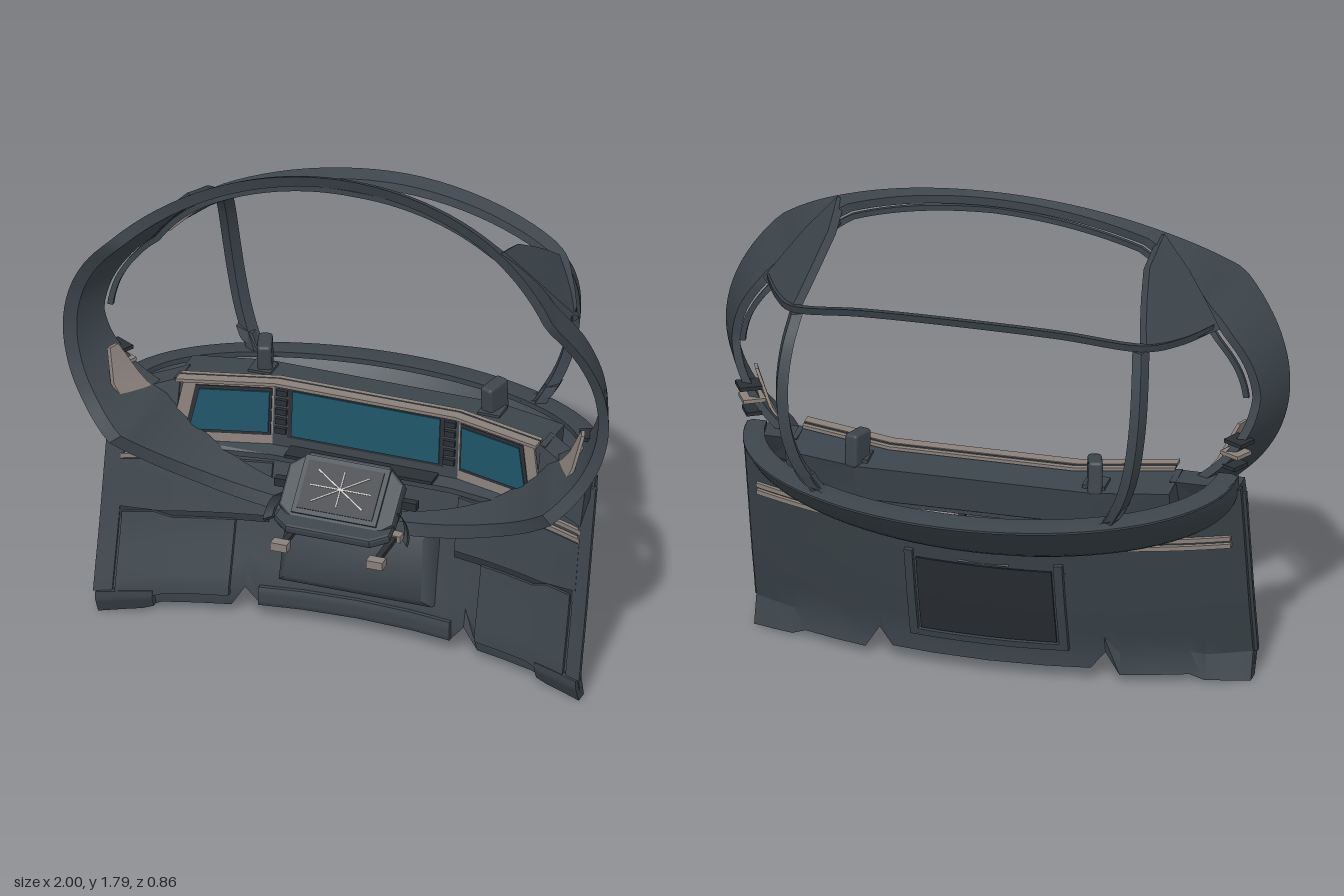
import * as THREE from 'three';
import { toCreasedNormals } from 'three/addons/utils/BufferGeometryUtils.js';
import { RoundedBoxGeometry } from 'three/addons/geometries/RoundedBoxGeometry.js';

const mat = (name, color) => Object.assign(
  new THREE.MeshStandardMaterial({ color, side: THREE.DoubleSide }), { name });
const slate = mat('slate', 0x3c454b);
const dark = mat('charcoal', 0x2a2f34);
const beige = mat('warm grey', 0x8a807a);
const teal = mat('screen teal', 0x1d5366);
const pale = mat('pale lines', 0xc9c6c0);

const lerp = THREE.MathUtils.lerp;
const add = (p, o) => p.map((c, i) => c + o[i]);
function table(rows, k) { // piecewise linear lookup, returns the row's values
  if (k <= rows[0][0]) return rows[0].slice(1);
  for (let i = 1; i < rows.length; i++) {
    const a = rows[i - 1], b = rows[i];
    if (k <= b[0]) return a.slice(1).map((v, j) => lerp(v, b[j + 1], (k - a[0]) / (b[0] - a[0])));
  }
  return rows[rows.length - 1].slice(1);
}

// Skin closed cross-sections; a loop joins last to first, otherwise the ends are capped
function loft(sections, loop = false, crease = 0.5) {
  const m = sections[0].length, n = sections.length, idx = [];
  const quad = (a, b, c, d) => idx.push(a, b, c, a, c, d);
  for (let i = 0; i < (loop ? n : n - 1); i++) for (let j = 0; j < m; j++) {
    const i2 = (i + 1) % n, j2 = (j + 1) % m;
    quad(i * m + j, i2 * m + j, i2 * m + j2, i * m + j2);
  }
  if (!loop) for (let j = 0; j < m / 2 - 1; j++) {
    const e = (n - 1) * m;
    quad(j, j + 1, m - 2 - j, m - 1 - j);
    quad(e + j, e + m - 1 - j, e + m - 2 - j, e + j + 1);
  }
  const pts = sections.flat().map(p => new THREE.Vector3(...p));
  let volume = 0;
  for (let i = 0; i < idx.length; i += 3)
    volume += pts[idx[i]].dot(pts[idx[i + 1]].clone().cross(pts[idx[i + 2]]));
  if (volume < 0) idx.reverse();
  const g = new THREE.BufferGeometry().setFromPoints(pts);
  g.setIndex(idx);
  return toCreasedNormals(g, crease);
}
// Grid of points given thickness
const slab = (rows, off, crease) => loft(rows.map(r => [...r, ...[...r].reverse().map(p => add(p, off))]), false, crease);
// Rectangular bar through points; u and v are half-size vectors
const neg = w => w.map(c => -c);
const strip = (points, u, v) => loft(points.map(p =>
  [add(add(p, u), v), add(add(p, u), neg(v)), add(add(p, neg(u)), neg(v)), add(add(p, neg(u)), v)]));
const bar = (points, u, v, n = 24) => strip(
  new THREE.CatmullRomCurve3(points.map(p => new THREE.Vector3(...p))).getPoints(n).map(q => q.toArray()), u, v);
const range = (a, b, n) => Array.from({ length: n + 1 }, (_, i) => lerp(a, b, i / n));

// Front and back depth of the canopy hoop by height
const hoopDepth = [[0.44, 0.19, 0.13], [0.55, 0.26, 0.12], [0.72, 0.395, 0.1], [0.85, 0.36, 0.13], [1.0, 0.34, 0.16],
  [1.12, 0.335, 0.18], [1.25, 0.342, 0.17], [1.38, 0.362, 0.16], [1.5, 0.393, 0.18], [1.68, 0.25, 0.2], [1.79, 0.17, 0.14]];
function hoopFrame(a) {
  const c = Math.cos(a), s = Math.sin(a), [zf, zb] = table(hoopDepth, 1.115 + 0.675 * s);
  return { zf, zb, taper: 0.4 * (zf - zb), c, at: (d, z) => [(1 - d) * c, 1.115 + (0.675 - d) * s, z] };
}
function hoopSection(a) {
  const { zf, zb, taper, at } = hoopFrame(a);
  return [at(0, zf), at(taper, zb), at(taper + 0.03, zb), at(0.045, zf - 0.015)];
}
function railSection(a) {
  const { zb, taper, c, at } = hoopFrame(a), t = taper + 0.035, z = zb + 0.015 - 0.03 * Math.abs(c);
  return [at(t, z), at(t, z - 0.015), at(t + 0.02, z - 0.015), at(t + 0.02, z)];
}

// Lower wall: bowed in plan and leaning, with a stepped bottom edge
const lean = [[0, 0.07], [0.06, 0.1], [0.1, 0.1], [0.3, 0.045], [0.5, 0.0], [0.8, -0.07]];
const wallZ = (x, y) => table(lean, y)[0] + 0.26 * x * x;
const wallBottom = x => table([[0, 0.05], [0.35, 0.05], [0.4, 0.11], [0.45, 0.03], [0.68, 0.03], [0.73, 0.01], [0.88, 0]], Math.abs(x))[0];
const wallTop = x => table([[0.6, 0.62], [0.88, 0.79]], Math.abs(x))[0];
const wallPatch = (xs, lo, hi, lift, depth) => slab(xs.map(x =>
  range(0, 1, 8).map(t => lerp(lo(x), hi(x), t)).map(y => [x, y, wallZ(x, y) + lift])), [0, 0, depth]);

export function createModel() {
  const model = new THREE.Group();
  model.name = 'cockpit';
  const put = (name, geo, material, parent = model) => {
    const m = new THREE.Mesh(geo, material);
    m.name = name;
    parent.add(m);
    return m;
  };
  const box = (name, w, h, d, x, y, z, material, parent) => {
    const m = put(name, new THREE.BoxGeometry(w, h, d), material, parent);
    m.position.set(x, y, z);
    return m;
  };
  const side = new THREE.Group(); // everything on the +x side, mirrored at the end
  side.name = 'leftSide';

  // Canopy hoop and its inner rail
  put('canopyHoop', loft(range(0, 2 * Math.PI, 120).slice(0, -1).map(hoopSection), true), slate);
  put('innerRail', loft(range(0.02, Math.PI - 0.02, 70).map(railSection)), slate);

  // Windscreen bars and roof corner panels
  const beam = [[0.79, 1.395, 0.12], [0.72, 1.405, -0.03], [0.62, 1.435, -0.18], [0.35, 1.497, -0.28], [0, 1.523, -0.325]];
  put('crossbar', bar([...beam, ...beam.slice(0, 4).reverse().map(([x, y, z]) => [-x, y, z])], [0, 0.014, -0.004], [0, 0.008, -0.026], 48), slate);
  put('windscreenPillar', bar([[0.61, 1.43, -0.19], [0.625, 1.33, -0.26], [0.63, 1.2, -0.31], [0.615, 1.05, -0.325],
    [0.58, 0.92, -0.305], [0.52, 0.8, -0.26]], [0.018, 0, -0.008], [0.008, 0, 0.025]), slate, side);
  put('pillarFoot', bar([[0.56, 0.87, -0.28], [0.53, 0.82, -0.27], [0.47, 0.8, -0.28]], [0.03, 0.01, 0], [0, 0, 0.025], 8), slate, side);
  put('roofCornerPanel', slab([
    [[0.58, 1.67, 0.24], [0.575, 1.645, 0.17], [0.57, 1.615, 0.08]],
    [[0.68, 1.56, 0.2], [0.63, 1.56, 0.09], [0.59, 1.55, -0.03]],
    [[0.75, 1.47, 0.16], [0.68, 1.48, 0.03], [0.61, 1.49, -0.12]],
    [[0.81, 1.39, 0.12], [0.73, 1.405, -0.03], [0.63, 1.435, -0.19]]], [-0.025, -0.015, 0.01]), slate, side);
  put('roofCornerTrim', bar([[0.56, 1.61, 0.16], [0.65, 1.5, 0.12], [0.73, 1.42, 0.09]], [0.01, 0.01, 0], [0, 0, 0.03], 8), dark, side);
  put('roofCornerStripe', strip([[0.57, 1.58, 0.18], [0.68, 1.46, 0.145]], [0.005, 0.005, 0], [0, 0, 0.01]), beige, side);

  // Nose bowl below the windscreen, with a flat flange round its rim
  const rim = a => [0.87 * Math.sin(a), 0.83 - 0.045 * Math.cos(a), 0.13 - 0.535 * Math.cos(a)];
  const angles = range(-Math.PI / 2, Math.PI / 2, 40);
  put('noseBowl', slab(angles.map(a => {
    const r = rim(a), c = Math.cos(a), foot = [r[0], 0.78 - 0.28 * c, 0.13 - 0.12 * c];
    return range(0, 1, 10).map(t => {
      const bulge = 4 * t * (1 - t) * c;
      return [r[0], lerp(r[1], foot[1], t) - 0.03 * bulge, lerp(r[2], foot[2], t) - 0.02 * bulge];
    });
  }), [0, 0.006, 0.008], 0.9), slate);
  put('noseRim', loft(angles.map(a => {
    const r = rim(a), s = Math.sin(a), c = Math.cos(a);
    const at = (d, y) => [r[0] - d * s, r[1] + y, r[2] + d * c];
    return [at(-0.022 * c, -0.005), at(-0.022 * c, 0.003), at(0.02, 0.012), at(0.07, 0.012), at(0.07, -0.008), at(0, -0.01)];
  })), slate);

  // Lower wall with raised panels, ledges and a rear recess
  const xs = [0.88, 0.8, 0.73, 0.68, 0.56, 0.45, 0.4, 0.35, 0.2];
  put('lowerWall', wallPatch([...xs.map(x => -x), 0, ...[...xs].reverse()], wallBottom, wallTop, -0.01, 0.03), slate);
  const px = [0.45, 0.55, 0.66, 0.72, 0.82];
  put('lowerSidePanel', wallPatch(px, x => wallBottom(x) + 0.05, x => (x > 0.7 ? 0.365 : 0.345), 0.015, 0.022), slate, side);
  put('upperSidePanel', wallPatch([0.34, 0.45, 0.58, 0.7, 0.84], x => (x > 0.7 ? 0.385 : 0.365), () => 0.55, 0.015, 0.017), slate, side);
  put('panelGap', wallPatch(range(0.34, 0.84, 6), () => 0.34, () => 0.39, 0.018, 0.008), dark, side);
  put('sideFoot', wallPatch([0.7, 0.74, 0.8, 0.88], wallBottom, () => 0.09, 0.015, 0.025), slate, side);
  put('sideEdge', wallPatch([0.83, 0.86, 0.89], () => 0.09, () => 0.76, 0.01, 0.02), slate, side);
  for (const [y, h] of [[0.56, 0.008], [0.59, 0.008]]) put('sideLedge',
    bar(range(0.5, 0.84, 5).map(x => [x, y, wallZ(x, y) + 0.003]), [0, h, 0], [0, 0, 0.03], 12), beige, side);
  put('rearRecess', wallPatch(range(-0.24, 0.24, 6), () => 0.15, () => 0.45, -0.022, 0.008), dark);
  put('rearRecessPost', wallPatch([0.25, 0.28], () => 0.12, () => 0.48, -0.03, 0.02), slate, side);
  put('rearRecessSill', wallPatch(range(-0.28, 0.28, 6), () => 0.12, () => 0.145, -0.03, 0.02), slate);

  // Centre box with bevelled front and a vent
  const frame = (w, y0, y1, z0, z1, tw = w) => [[-w, y0, z0], [w, y0, z0], [tw, y1, z1], [-tw, y1, z1]];
  put('centreBox', loft([frame(0.285, 0.15, 0.46, 0.1, 0.02), frame(0.28, 0.16, 0.44, 0.15, 0.09, 0.27),
    frame(0.25, 0.19, 0.41, 0.175, 0.13, 0.24)], false, 0.9), slate);
  for (let i = 0; i < 3; i++) box('centreVent', 0.24 - i * 0.015, 0.012, 0.03, 0, 0.415 - i * 0.018, 0.116 + i * 0.009, beige);
  put('centreFoot', wallPatch([-0.35, -0.2, 0, 0.2, 0.35], () => 0.05, () => 0.12, 0.015, 0.02), slate);

  // Dashboard body, upright facia under a hood trim, screens and button columns
  const dashZ = (x, y) => 0.02 + (0.86 - y) * 0.1 + Math.max(0, Math.abs(x) - 0.33) * 0.27;
  const facia = (x0, x1, y0, y1, lift, depth) => slab([x0, x1].map(x => [y0, y1].map(y => [x, y, dashZ(x, y) + lift])), [0, 0, depth]);
  const panel = (x0, xLow, xTop, y0, y1, lift, depth) => slab([[x0, x0], [xLow, xTop]].map(([a, b]) =>
    [[a, y0, dashZ(a, y0) + lift], [b, y1, dashZ(b, y1) + lift]]), [0, 0, depth]);
  put('dashBody', loft([-0.68, -0.42, 0.42, 0.68].map(x => {
    const k = Math.abs(x) > 0.5 ? 1 : 0;
    return [[x, 0.62, dashZ(x, 0.62) - 0.01], [x, 0.85, dashZ(x, 0.85) - 0.01], [x, 0.84, -0.14 + 0.06 * k], [x, 0.71, -0.12 + 0.08 * k]];
  }), false, 0.2), slate);
  const dashLine = (y, lift) => [-0.66, -0.33, 0.33, 0.66].map(x => [x, y, dashZ(x, 0.86) + lift]);
  put('dashHood', strip(dashLine(0.863, 0.016), [0, 0.006, 0], [0, 0, 0.02]), beige);
  put('dashHoodGroove', strip(dashLine(0.862, -0.01), [0, 0.004, 0], [0, 0, 0.007]), dark);
  put('dashHoodRear', strip(dashLine(0.86, -0.024), [0, 0.006, 0], [0, 0, 0.008]), beige);
  put('centreFacia', facia(-0.33, 0.33, 0.645, 0.86, 0, 0.012), beige);
  put('centreScreenSurround', facia(-0.285, 0.285, 0.665, 0.852, 0.012, 0.004), dark);
  put('centreScreen', facia(-0.27, 0.27, 0.675, 0.842, 0.016, 0.005), teal);
  put('sideFacia', panel(0.33, 0.68, 0.64, 0.63, 0.86, 0, 0.012), beige, side);
  put('sideScreenSurround', panel(0.345, 0.63, 0.6, 0.665, 0.84, 0.012, 0.004), dark, side);
  put('sideScreen', panel(0.352, 0.615, 0.585, 0.677, 0.828, 0.016, 0.005), teal, side);
  for (let i = 0; i < 5; i++) {
    const y = 0.69 + i * 0.035;
    box('dashButton', 0.04, 0.022, 0.014, 0.308, y, dashZ(0.3, y) + 0.02, dark, side);
  }
  put('dashShelf', slab([-0.68, -0.33, 0.33, 0.68].map(x => [[x, 0.635, dashZ(x, 0.63)], [x, 0.615, wallZ(x, 0.6) + 0.13 - 0.1 * Math.abs(x)]]), [0, -0.02, 0], 0.2), slate);
  put('dashShelfPad', strip([[-0.27, 0.632, 0.09], [0.27, 0.632, 0.09]], [0, 0.006, 0], [0, 0, 0.035]), dark);

  // Side consoles, upright displays and trim on the hoop
  put('sideConsole', loft([[0.66, 0.85, 0.04], [0.78, 0.82, 0.1], [0.87, 0.79, 0.16]].map(([x, y, z]) =>
    [[x, 0.66, z + 0.11], [x, y, z + 0.06], [x, y, z - 0.04], [x, 0.72, z + 0.02]])), slate, side);
  const display = put('uprightDisplay', new RoundedBoxGeometry(0.05, 0.12, 0.1, 2, 0.012), slate, side);
  display.position.set(0.42, 0.89, -0.09);
  display.rotation.set(0.1, -0.3, 0);
  box('displayBase', 0.08, 0.02, 0.08, 0.42, 0.845, -0.07, slate, side);
  put('hoopTrim', slab([[[0.86, 1.0, 0.2], [0.875, 1.0, 0.24]], [[0.8, 0.88, 0.16], [0.85, 0.88, 0.27]],
    [[0.76, 0.83, 0.15], [0.81, 0.8, 0.26]]], [-0.012, 0, 0]), beige, side);
  for (let i = 0; i < 3; i++)
    box('sideSlat', 0.08, 0.014, 0.07, 0.845 + i * 0.012, 0.87 + i * 0.045, 0.15, i === 1 ? beige : dark, side).rotation.y = 0.5;

  // Steering yoke with tilted display and a flat lower body
  const plate = (points, depth) => new THREE.ExtrudeGeometry(new THREE.Shape(points.map(p => new THREE.Vector2(...p))),
    { depth, bevelSize: 0.01, bevelThickness: 0.01, bevelSegments: 2 });
  const yoke = new THREE.Group();
  yoke.name = 'steeringYoke';
  yoke.position.set(0, 0.635, 0.285);
  yoke.rotation.x = -0.8;
  model.add(yoke);
  put('yokeHub', plate([[-0.15, -0.12], [0.15, -0.12], [0.2, -0.08], [0.2, 0.06], [0.14, 0.11], [-0.14, 0.11], [-0.2, 0.06], [-0.2, -0.08]], 0.035),
    slate, yoke).position.z = -0.05;
  box('yokeBezel', 0.31, 0.21, 0.01, 0, 0, 0, slate, yoke);
  box('yokeScreen', 0.275, 0.175, 0.006, 0, 0, 0.006, dark, yoke);
  for (const a of [0, 0.55, Math.PI / 2, Math.PI - 0.55])
    box('screenLine', a > 1 && a < 2 ? 0.13 : 0.22, 0.004, 0.003, 0, 0, 0.0105, pale, yoke).rotation.z = a;
  const lower = put('yokeLowerBody', plate([[-0.15, -0.09], [0.15, -0.09], [0.2, -0.05], [0.19, 0.09], [-0.19, 0.09], [-0.2, -0.05]], 0.015), slate);
  lower.position.set(0, 0.535, 0.32);
  lower.rotation.x = -Math.PI / 2 + 0.2;
  put('yokeArm', bar([[0.18, 0.6, 0.28], [0.23, 0.57, 0.29], [0.25, 0.52, 0.31], [0.25, 0.5, 0.33]], [0, 0.008, 0.008], [0.012, 0, 0.015], 12), slate, side);
  box('yokePaddle', 0.06, 0.03, 0.03, 0.23, 0.6, 0.235, dark, side);
  put('yokeColumn', bar([[0, 0.6, 0.26], [0, 0.53, 0.18], [0, 0.5, 0.02]], [0.09, 0, 0], [0, 0.045, 0.02], 8), slate);

  // Foot rests on rods under the yoke
  box('footRod', 0.022, 0.016, 0.3, 0.17, 0.45, 0.25, dark, side);
  box('footPad', 0.06, 0.03, 0.04, 0.175, 0.452, 0.41, beige, side);
  box('footRodClamp', 0.05, 0.025, 0.04, 0.17, 0.45, 0.21, beige, side);

  const other = side.clone();
  other.name = 'rightSide';
  other.scale.x = -1;
  model.add(side, other);
  return model;
}
